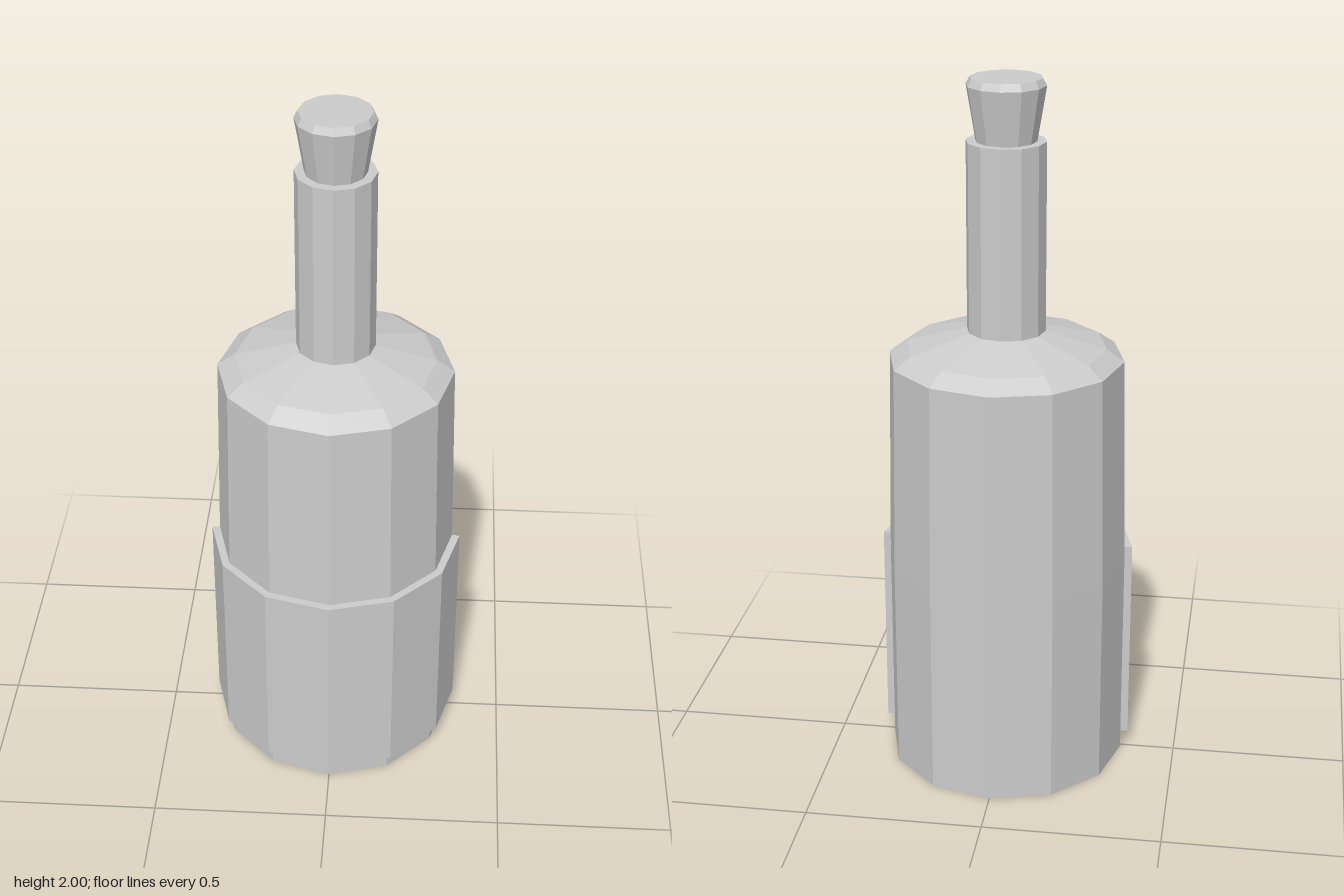
import * as THREE from 'three';

const SIDES = 12;
const BASE_Z = -0.011; // axis of the straight lower body
const TOP_Z = -0.0175; // axis of shoulder, neck and cork

const material = new THREE.MeshStandardMaterial({ color: 0xcccccc, flatShading: true });

function addMesh(group, name, geometry) {
  const mesh = new THREE.Mesh(geometry, material);
  mesh.name = name;
  group.add(mesh);
}

// Twelve-sided turned part from [radius, y] pairs listed bottom to top
function turned(points) {
  return new THREE.LatheGeometry(points.map(([r, y]) => new THREE.Vector2(r, y)), SIDES);
}

export function createModel() {
  const group = new THREE.Group();
  group.name = 'bottle';

  // Body with tapered upper half and sloped shoulder
  const body = turned([[0, 0], [0.342, 0], [0.342, 0.62], [0.33, 1.22], [0.28, 1.255], [0.11, 1.3], [0, 1.3]]);
  const pos = body.attributes.position;
  for (let i = 0; i < pos.count; i++) {
    // the taper drifts slightly towards the back
    const t = THREE.MathUtils.clamp((pos.getY(i) - 0.62) / 0.6, 0, 1);
    pos.setZ(i, pos.getZ(i) + THREE.MathUtils.lerp(BASE_Z, TOP_Z, t));
  }
  addMesh(group, 'body', body);

  // Straight neck, closed around the cork
  addMesh(group, 'neck', turned([[0.11, 1.29], [0.11, 1.83], [0, 1.83]]).translate(0, 0, TOP_Z));

  // Flared cork with a small bevel on top
  addMesh(group, 'cork', turned([[0.082, 1.82], [0.109, 1.98], [0.098, 2], [0, 2]]).translate(0, 0, TOP_Z));

  // Raised label wrapped round the front half
  const outer = [], inner = [];
  for (let i = 0; i <= SIDES / 2; i++) {
    const a = Math.PI + (i * 2 * Math.PI) / SIDES;
    const end = i === 0 || i === SIDES / 2;
    outer.push(new THREE.Vector2(0.363 * Math.cos(a), 0.363 * Math.sin(a) - (end ? 0.005 : 0)));
    inner.unshift(new THREE.Vector2(0.335 * Math.cos(a), 0.335 * Math.sin(a)));
  }
  const label = new THREE.ExtrudeGeometry(new THREE.Shape([...outer, ...inner]), { depth: 0.603, bevelEnabled: false });
  label.rotateX(-Math.PI / 2).translate(0, 0.052, BASE_Z);
  addMesh(group, 'label', label);

  return group;
}
